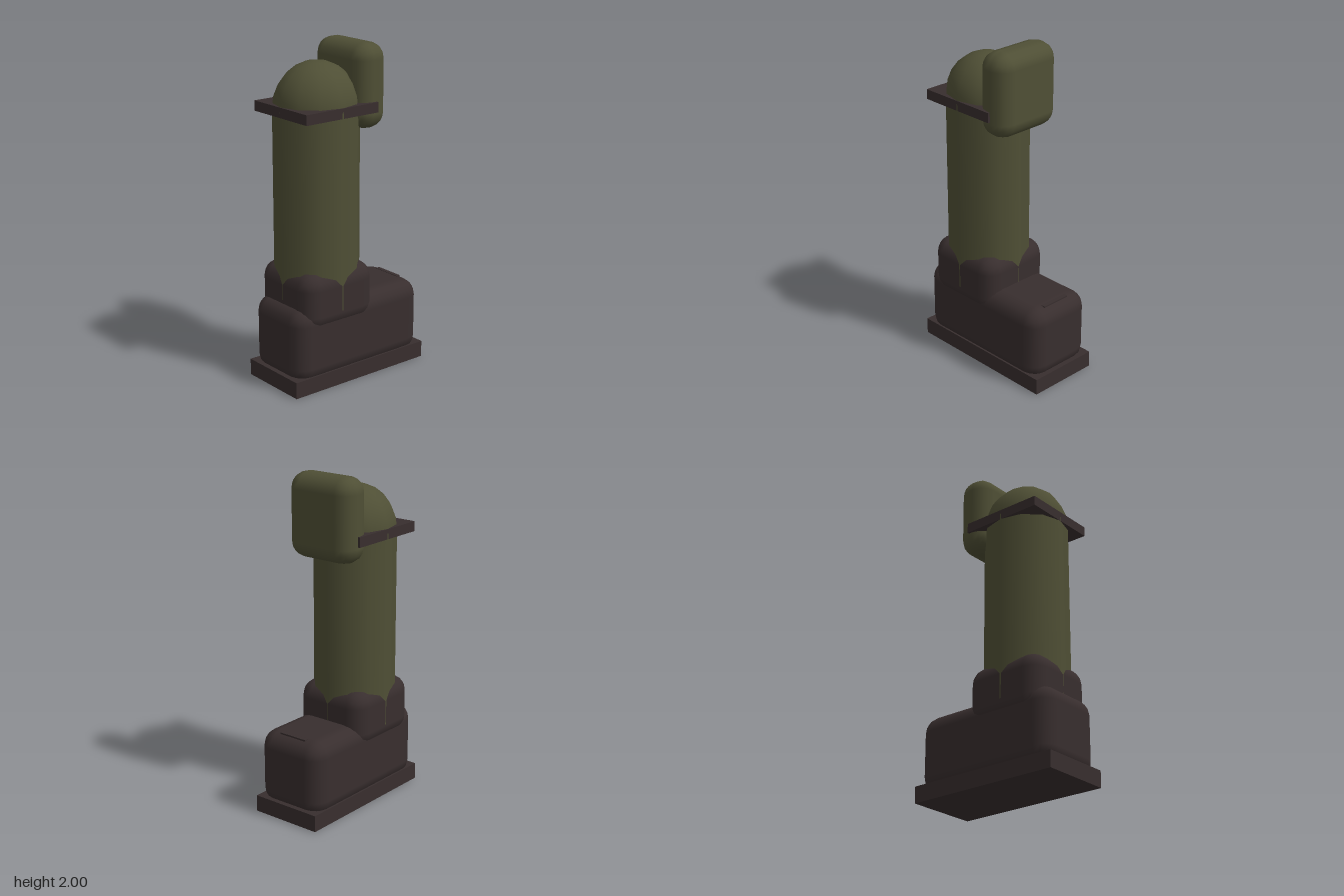
import * as THREE from 'three';
import { RoundedBoxGeometry } from 'three/addons/geometries/RoundedBoxGeometry.js';

export function createModel() {
  const model = new THREE.Group();
  const olive = new THREE.MeshStandardMaterial({ color: 0x4f4f35 });
  olive.name = 'olive cloth';
  const leather = new THREE.MeshStandardMaterial({ color: 0x382e2e });
  leather.name = 'dark leather';

  function add(name, geometry, material, x, y, z) {
    const mesh = new THREE.Mesh(geometry, material);
    mesh.name = name;
    mesh.position.set(x, y, z);
    model.add(mesh);
    return mesh;
  }

  // Boot: flat sole, rounded foot, ankle cuff and a strip across the toe
  add('sole', new THREE.BoxGeometry(0.45, 0.1, 0.975), leather, 0, 0.05, 0);
  add('foot', new RoundedBoxGeometry(0.456, 0.465, 0.94, 2, 0.1), leather, 0, 0.2825, 0);
  add('ankleCuff', new RoundedBoxGeometry(0.48, 0.36, 0.515, 2, 0.1), leather, 0, 0.54, 0.155);
  add('toeStrip', new THREE.BoxGeometry(0.19, 0.022, 0.026), leather, 0, 0.502, -0.403);

  // Leg: twelve-sided smooth oval column with a domed knee
  const legZ = 0.155;
  const leg = add('leg', new THREE.CylinderGeometry(1, 1, 1.17, 12, 1, true), olive, 0, 1.055, legZ);
  leg.scale.set(0.241, 1, 0.258);
  const knee = add('knee', new THREE.SphereGeometry(1, 12, 6, 0, Math.PI * 2, 0, Math.PI / 2), olive, 0, 1.64, legZ);
  knee.scale.set(0.241, 0.265, 0.258);

  // Square strap around the leg, and the padded block behind the knee
  add('strap', new THREE.BoxGeometry(0.48, 0.06, 0.515), leather, 0, 1.638, legZ);
  add('kneePad', new RoundedBoxGeometry(0.454, 0.5, 0.215, 2, 0.095), olive, 0, 1.75, -0.095);

  return model;
}
